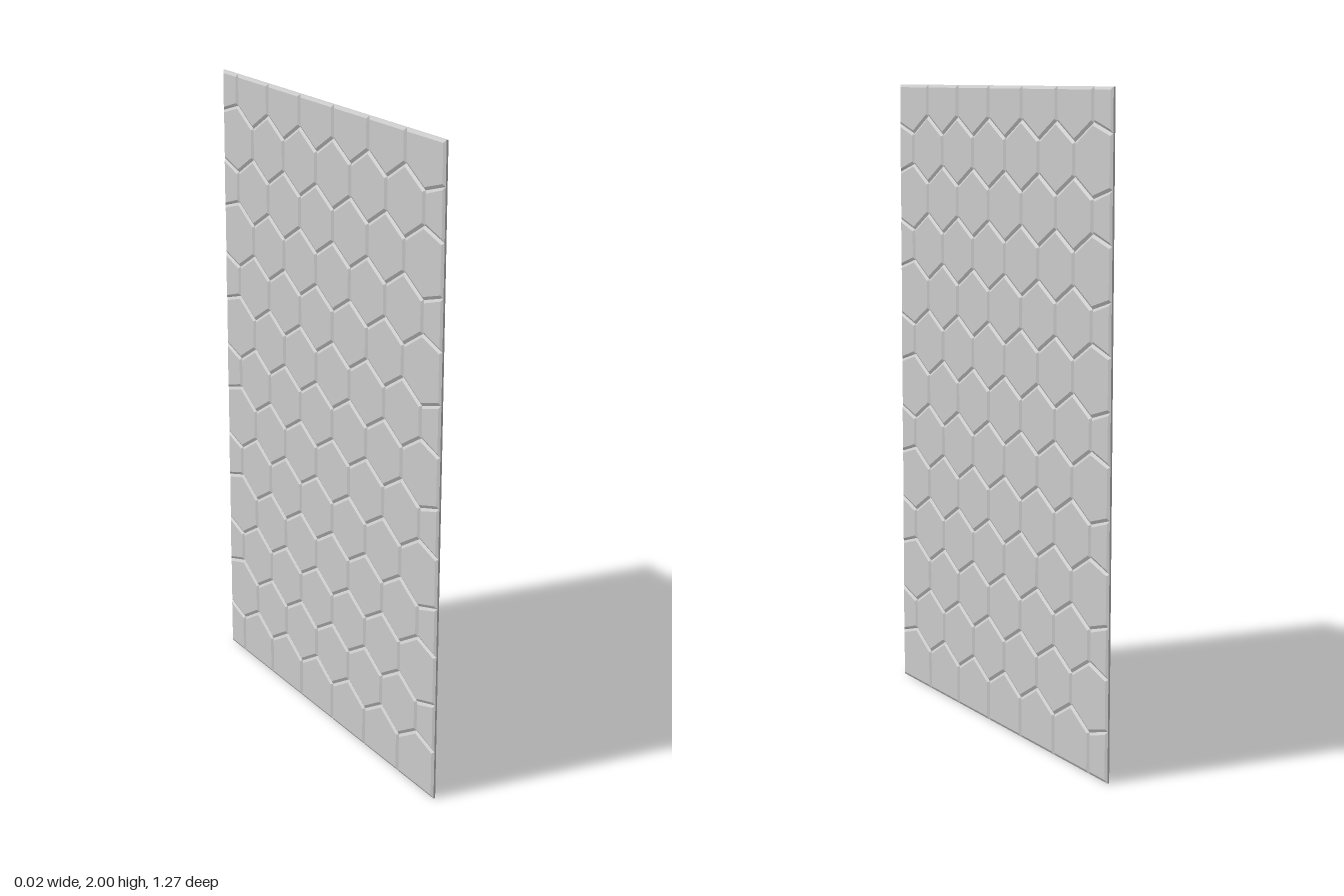
import * as THREE from 'three';

const ROWS = 13, COLS = 13;      // rows of tiles, half-tile columns
const WIDTH = 1.274, HEIGHT = 2; // panel size along z and y
const STEP = WIDTH / COLS;       // half a tile width
const PITCH = 0.156;             // row height
const ZIGZAG = 0.029;            // how far the row joints swing up and down
const BEVEL = 0.009, RIM = 0.006, CHAMFER = 0.005;

// Point on the joint below row `line`, at half-tile column j
function jointPoint(line, j) {
  let y = line * PITCH;
  if (line === 0) y = 0;
  else if (line === ROWS) y = HEIGHT;
  else if (j > 0 && j < COLS) y += (j + line) % 2 === 0 ? ZIGZAG : -ZIGZAG;
  return new THREE.Vector2(WIDTH / 2 - j * STEP, y);
}

// Tile bevelled on both faces, lying in the z-y plane
function tileGeometry(row, j0, j1) {
  const bottom = [], top = [];
  for (let j = j0; j <= j1; j++) {
    bottom.push(jointPoint(row, j));
    top.unshift(jointPoint(row + 1, j));
  }
  const geometry = new THREE.ExtrudeGeometry(new THREE.Shape([...bottom, ...top]), {
    depth: RIM,
    bevelEnabled: true,
    bevelThickness: CHAMFER,
    bevelSize: BEVEL,
    bevelOffset: -BEVEL,
    bevelSegments: 1,
  });
  geometry.translate(0, 0, -RIM / 2);
  geometry.rotateY(-Math.PI / 2);
  return geometry;
}

export function createModel() {
  const panel = new THREE.Group();
  panel.name = 'hexagonTilePanel';
  const material = new THREE.MeshStandardMaterial({ color: 0xcccccc, flatShading: true });

  for (let row = 0; row < ROWS; row++) {
    const tileRow = new THREE.Group();
    tileRow.name = `tileRow${row + 1}`;
    // Alternate rows start with a full tile or a half tile
    let start = 0;
    while (start < COLS) {
      const end = Math.min(start === 0 && row % 2 ? 1 : start + 2, COLS);
      const tile = new THREE.Mesh(tileGeometry(row, start, end), material);
      tile.name = end - start === 1 ? 'halfTile' : 'hexagonTile';
      tileRow.add(tile);
      start = end;
    }
    panel.add(tileRow);
  }
  return panel;
}
